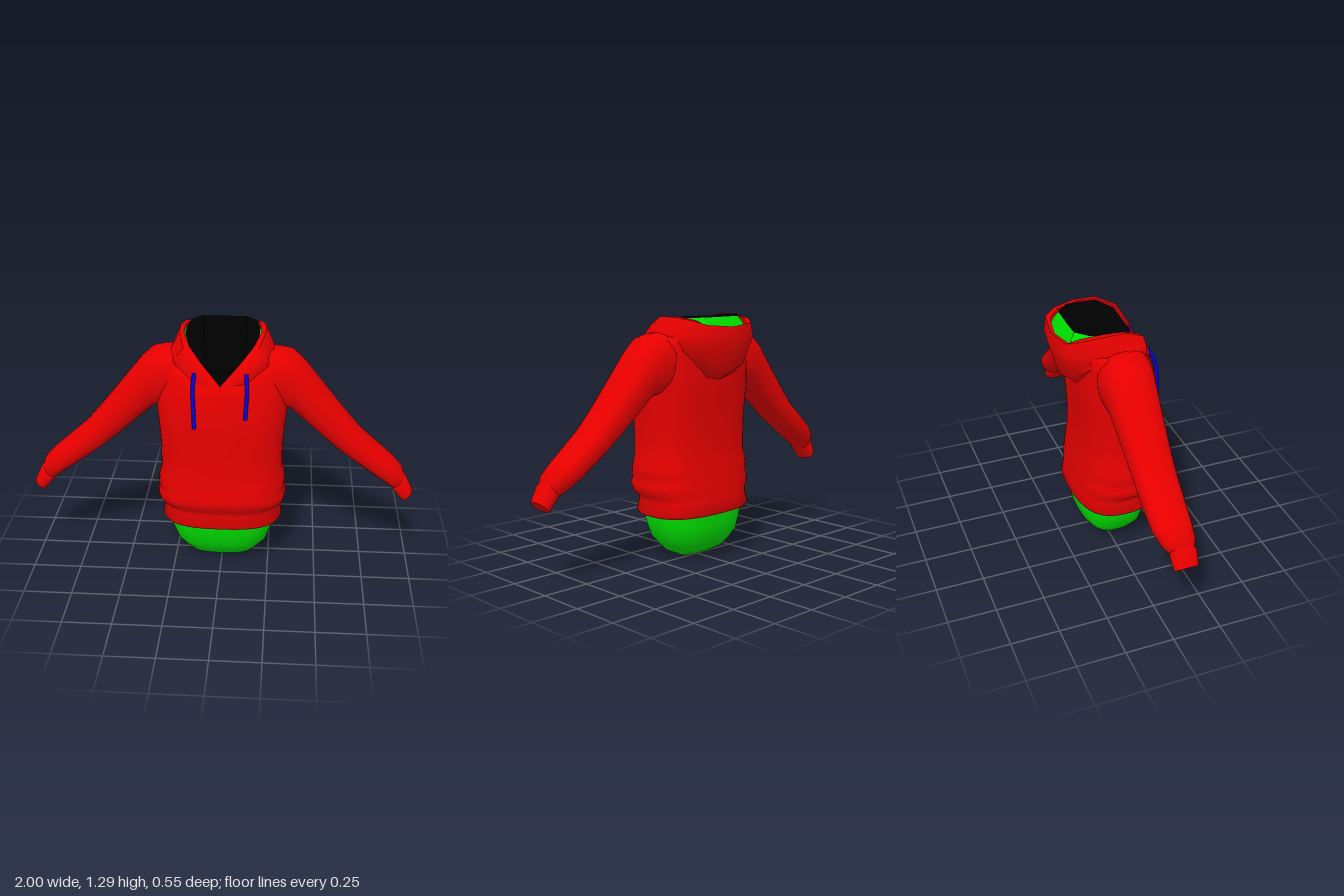
import * as THREE from 'three';
import { toCreasedNormals } from 'three/addons/utils/BufferGeometryUtils.js';

const mat = (name, color) =>
  new THREE.MeshStandardMaterial({ name, color, side: THREE.DoubleSide });

// Skin a list of closed rings, each an equally long list of [x, y, z]
function loft(name, rings, material, crease = 0.7) {
  const n = rings[0].length, index = [];
  for (let r = 0; r < rings.length - 1; r++) {
    for (let i = 0; i < n; i++) {
      const j = (i + 1) % n, a = r * n + i, b = r * n + j;
      index.push(a, a + n, b, b, a + n, b + n);
    }
  }
  const g = new THREE.BufferGeometry();
  g.setAttribute('position', new THREE.Float32BufferAttribute(rings.flat(2), 3));
  g.setIndex(index);
  const mesh = new THREE.Mesh(toCreasedNormals(g, crease), material);
  mesh.name = name;
  return mesh;
}

// Points of a unit superellipse
function superellipse(n, power) {
  return Array.from({ length: n }, (_, i) => {
    const t = (i / n) * Math.PI * 2, c = Math.cos(t), s = Math.sin(t), e = 2 / power;
    return [Math.sign(c) * Math.abs(c) ** e, Math.sign(s) * Math.abs(s) ** e];
  });
}

// Horizontal ring; dip lowers its front to follow the neckline
function bodyRing([y, hw, zf, zb, dip = 0], power) {
  return superellipse(40, power).map(([c, s]) => [
    hw * c, y - dip * Math.max(0, s) ** 3, (zf + zb) / 2 + ((zf - zb) / 2) * s]);
}

// Sleeve ring spanned by an upper and a lower edge point
function sleeveRing([ux, uy, lx, ly, zf, zb], side) {
  return superellipse(24, 2.45).map(([c, s]) => [
    side * ((ux + lx) / 2 + ((ux - lx) / 2) * c),
    (uy + ly) / 2 + ((uy - ly) / 2) * c,
    (zf + zb) / 2 + ((zf - zb) / 2) * s]);
}

// Complete a front-to-back half ring with its mirror image
const mirrorRing = (half) =>
  [...half, ...half.slice(1, -1).reverse().map(([x, y, z]) => [-x, y, z])];

export function createModel() {
  const model = new THREE.Group();
  model.name = 'hoodedSweatshirt';
  const red = mat('redFabric', 0xe90000);
  const green = mat('greenBody', 0x00de00);
  const black = mat('blackLining', 0x000000);
  const blue = mat('blueCord', 0x0000e7);

  // Torso with hem band and waist folds: y, half width, front z, back z, front dip
  const torso = [
    [0.26, 0.25, 0.19, -0.14], [0.252, 0.305, 0.235, -0.175],
    [0.268, 0.316, 0.245, -0.186], [0.33, 0.303, 0.235, -0.176],
    [0.35, 0.308, 0.24, -0.173], [0.37, 0.328, 0.258, -0.17],
    [0.415, 0.337, 0.274, -0.166], [0.437, 0.324, 0.268, -0.162],
    [0.46, 0.332, 0.265, -0.16], [0.51, 0.33, 0.258, -0.153],
    [0.56, 0.317, 0.255, -0.147], [0.68, 0.316, 0.254, -0.145],
    [0.8, 0.325, 0.256, -0.151], [0.9, 0.336, 0.254, -0.161],
    [1.0, 0.335, 0.243, -0.168], [1.1, 0.32, 0.23, -0.172, 0.06],
    [1.165, 0.295, 0.222, -0.19, 0.11], [1.19, 0.25, 0.21, -0.205, 0.14],
  ];
  // The section is squarer at the waist than at the shoulders
  const squareness = (y) => 2.3 + 0.4 * Math.min(1, Math.max(0, (1.1 - y) / 0.3));
  model.add(loft('torso', torso.map((r) => bodyRing(r, squareness(r[0]))), red, 0.9));

  // Sleeves and cuffs: upper x, y, lower x, y, front z, back z
  const sleeve = [
    [0.235, 1.2, 0.235, 0.93, 0.165, -0.113], [0.295, 1.196, 0.265, 0.9, 0.163, -0.115],
    [0.355, 1.182, 0.3, 0.885, 0.153, -0.113],
    [0.42, 1.122, 0.345, 0.885, 0.145, -0.106], [0.53, 0.985, 0.43, 0.81, 0.14, -0.092],
    [0.64, 0.85, 0.53, 0.722, 0.136, -0.08], [0.72, 0.758, 0.61, 0.655, 0.136, -0.072],
    [0.8, 0.688, 0.7, 0.588, 0.136, -0.068], [0.89, 0.61, 0.79, 0.525, 0.135, -0.06],
    [0.94, 0.56, 0.86, 0.475, 0.13, -0.035], [0.952, 0.525, 0.895, 0.452, 0.118, -0.008],
  ];
  const cuff = [
    [0.945, 0.535, 0.885, 0.46, 0.11, 0], [0.962, 0.515, 0.897, 0.442, 0.126, -0.008],
    [1.0, 0.44, 0.945, 0.385, 0.12, 0], [0.973, 0.413, 0.971, 0.411, 0.061, 0.059],
  ];
  for (const [side, label] of [[1, 'left'], [-1, 'right']]) {
    model.add(loft(label + 'Sleeve', sleeve.map((r) => sleeveRing(r, side)), red, 0.9));
    model.add(loft(label + 'Cuff', cuff.map((r) => sleeveRing(r, side)), red));
  }

  // Hood lying back: half rings from the front point round to the back
  const hood = [
    // inner rim
    [[0, 1.055, 0.212], [0.09, 1.155, 0.18], [0.16, 1.235, 0.13], [0.192, 1.275, 0.04],
      [0.192, 1.28, -0.06], [0.172, 1.264, -0.17], [0.14, 1.237, -0.22], [0, 1.225, -0.243]],
    // outer rim
    [[0, 1.045, 0.224], [0.11, 1.15, 0.195], [0.185, 1.23, 0.15], [0.215, 1.277, 0.045],
      [0.218, 1.277, -0.07], [0.197, 1.262, -0.18], [0.155, 1.243, -0.24], [0, 1.23, -0.262]],
    // widest line
    [[0, 1.03, 0.228], [0.125, 1.115, 0.208], [0.218, 1.19, 0.155], [0.249, 1.205, 0.05],
      [0.251, 1.2, -0.07], [0.22, 1.18, -0.18], [0.16, 1.17, -0.25], [0, 1.17, -0.276]],
    // lower slope
    [[0, 1.01, 0.23], [0.14, 1.08, 0.209], [0.235, 1.15, 0.148], [0.275, 1.185, 0.05],
      [0.258, 1.14, -0.07], [0.19, 1.09, -0.18], [0.122, 1.03, -0.212], [0, 0.99, -0.224]],
    // lower edge
    [[0, 0.99, 0.22], [0.14, 1.05, 0.195], [0.23, 1.12, 0.12], [0.25, 1.15, 0.04],
      [0.23, 1.1, -0.07], [0.15, 1.03, -0.135], [0.09, 0.97, -0.155], [0, 0.953, -0.16]],
  ];
  model.add(loft('hood', hood.map(mirrorRing), red, 0.8));

  // Neck opening: green collar outside, black lining inside and over its edge
  const neckRim = [[0, 1.048, 0.207], [0.084, 1.148, 0.174], [0.152, 1.228, 0.125],
    [0.182, 1.272, 0.04], [0.183, 1.277, -0.06], [0.168, 1.284, -0.125],
    [0.115, 1.286, -0.18], [0, 1.286, -0.182]];
  const collarTop = neckRim.map(([x, y, z]) => [x * 1.015, y - 0.01, z * 1.015]);
  // Collar ring that keeps the neckline in front and takes its own back points
  const collarRing = (k, drop, back) => neckRim.map(([x, y, z], i) =>
    (i < 5 ? [x * k, y - drop, z * 1.03] : back[i - 5]));
  const collarBase = collarRing(1.07, 0.02,
    [[0.182, 1.19, -0.175], [0.145, 1.185, -0.228], [0, 1.18, -0.247]]);
  const collarFold = collarRing(1.04, 0.015,
    [[0.174, 1.25, -0.155], [0.132, 1.24, -0.206], [0, 1.24, -0.216]]);
  model.add(loft('collar', [collarBase, collarFold, collarTop].map(mirrorRing), green, 0.4));
  const inner = (k, y) => neckRim.map(([x, , z]) => [x * k, y, z * k]);
  model.add(loft('neckLining',
    [collarTop, neckRim, inner(0.85, 0.98), inner(0.01, 0.95)].map(mirrorRing), black));

  // Rounded lower body below the hem
  const hips = [
    [0.32, 0.28, 0.212, -0.152], [0.25, 0.278, 0.212, -0.152], [0.19, 0.265, 0.2, -0.148],
    [0.125, 0.242, 0.187, -0.14], [0.08, 0.207, 0.155, -0.113], [0.04, 0.167, 0.124, -0.08],
    [0.016, 0.12, 0.088, -0.04], [0.004, 0.06, 0.06, 0.005], [0, 0.001, 0.036, 0.034],
  ];
  model.add(loft('lowerBody', hips.map((r) => bodyRing(r, 2.8)), green, 0.6));

  // Drawstrings, the right one hanging lower
  for (const [side, label, end] of [[1, 'left', 0.9], [-1, 'right', 0.845]]) {
    const path = new THREE.CatmullRomCurve3([
      [0.128, 1.12, 0.203], [0.134, 1.045, 0.238], [0.13, 0.96, 0.254], [0.127, end, 0.261],
    ].map(([x, y, z]) => new THREE.Vector3(side * x, y, z)));
    const cord = new THREE.Mesh(new THREE.TubeGeometry(path, 12, 0.01, 6), blue);
    cord.name = label + 'Drawstring';
    model.add(cord);
  }
  return model;
}
